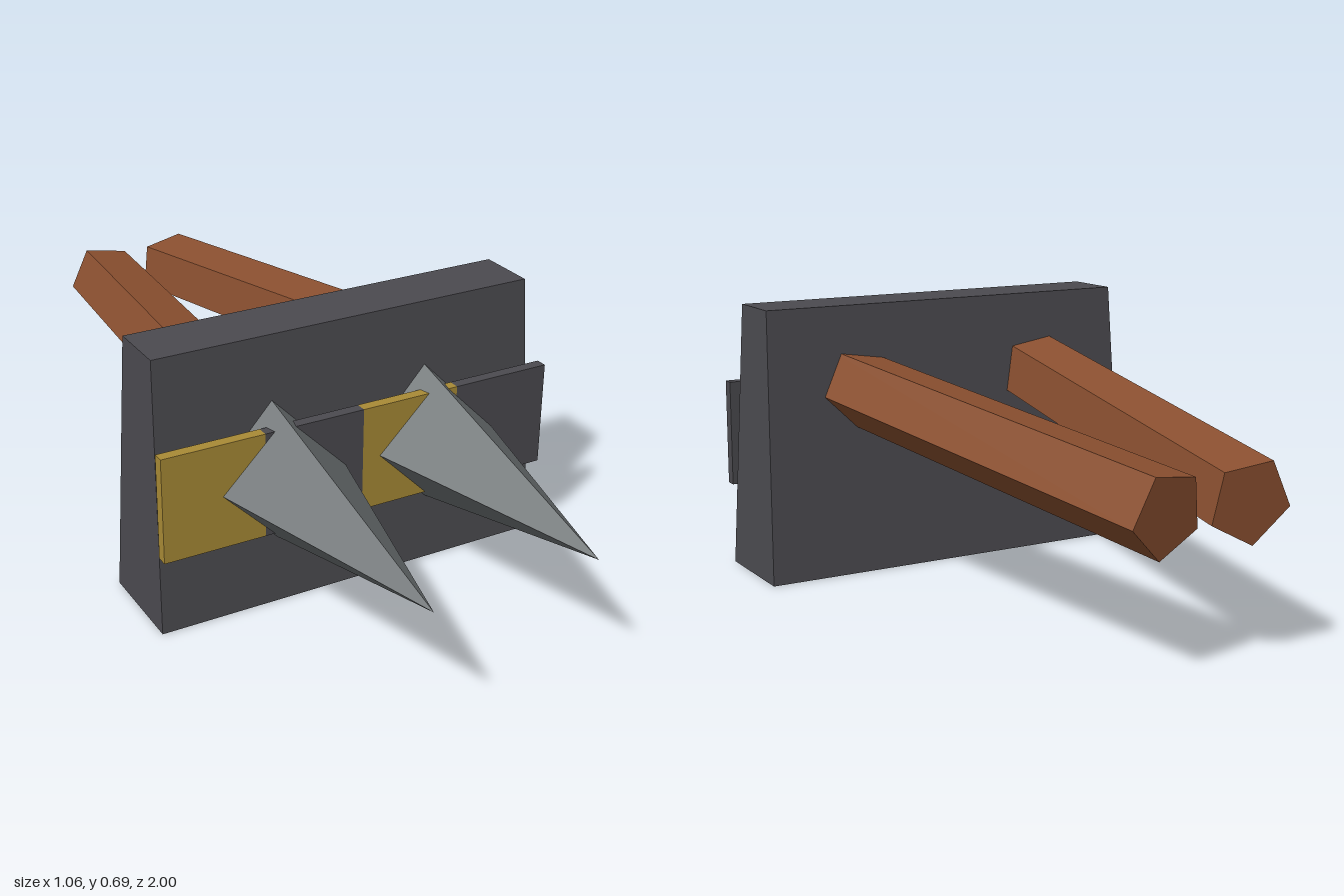
import * as THREE from 'three';

const material = (name, color) => {
  const m = new THREE.MeshStandardMaterial({ color, flatShading: true });
  m.name = name;
  return m;
};

export function createModel() {
  const iron = material('dark iron', 0x4b4a4f);
  const steel = material('grey steel', 0x6e7375);
  const yellow = material('warning yellow', 0xa98b36);
  const wood = material('brown wood', 0x8b5030);

  const model = new THREE.Group();
  model.name = 'spikedBarricade';
  const add = (name, geometry, mat, x = 0, y = 0, z = 0) => {
    const mesh = new THREE.Mesh(geometry, mat);
    mesh.name = name;
    mesh.position.set(x, y, z);
    model.add(mesh);
    return mesh;
  };

  // Upright plate, narrowing towards the top
  const plate = new THREE.BoxGeometry(1.06, 0.69, 0.26);
  const p = plate.attributes.position;
  for (let i = 0; i < p.count; i++) {
    if (p.getY(i) > 0) {
      p.setX(i, Math.sign(p.getX(i)) * 0.51);
      p.setZ(i, Math.sign(p.getZ(i)) * 0.078);
    }
  }
  plate.computeVertexNormals();
  add('plate', plate, iron, 0, 0.345, 0.208);

  // Warning band of four alternating panels, just in front of the plate
  for (let i = 0; i < 4; i++) {
    add(i % 2 ? 'darkBandPanel' : 'yellowBandPanel', new THREE.BoxGeometry(0.265, 0.272, 0.029),
      i % 2 ? iron : yellow, -0.3975 + i * 0.265, 0.346, 0.351);
  }

  for (const side of [-1, 1]) {
    const label = side > 0 ? 'left' : 'right';

    // Four-sided spike pointing forward
    const spike = new THREE.ConeGeometry(0.186, 0.72, 4);
    spike.rotateX(Math.PI / 2);
    add(label + 'Spike', spike, steel, side * 0.212, 0.346, 0.64);

    // Five-sided brace, sloping down and inward to the back
    const rear = new THREE.Vector3(side * 0.107, 0.372, -0.985);
    const front = new THREE.Vector3(side * 0.276, 0.487, 0.2);
    const brace = new THREE.CylinderGeometry(0.1, 0.1, rear.distanceTo(front), 5, 1, false,
      side * THREE.MathUtils.degToRad(80));
    brace.rotateX(Math.PI / 2);
    const mesh = add(label + 'Brace', brace, wood);
    mesh.position.lerpVectors(rear, front, 0.5);
    mesh.lookAt(front);
  }
  return model;
}
